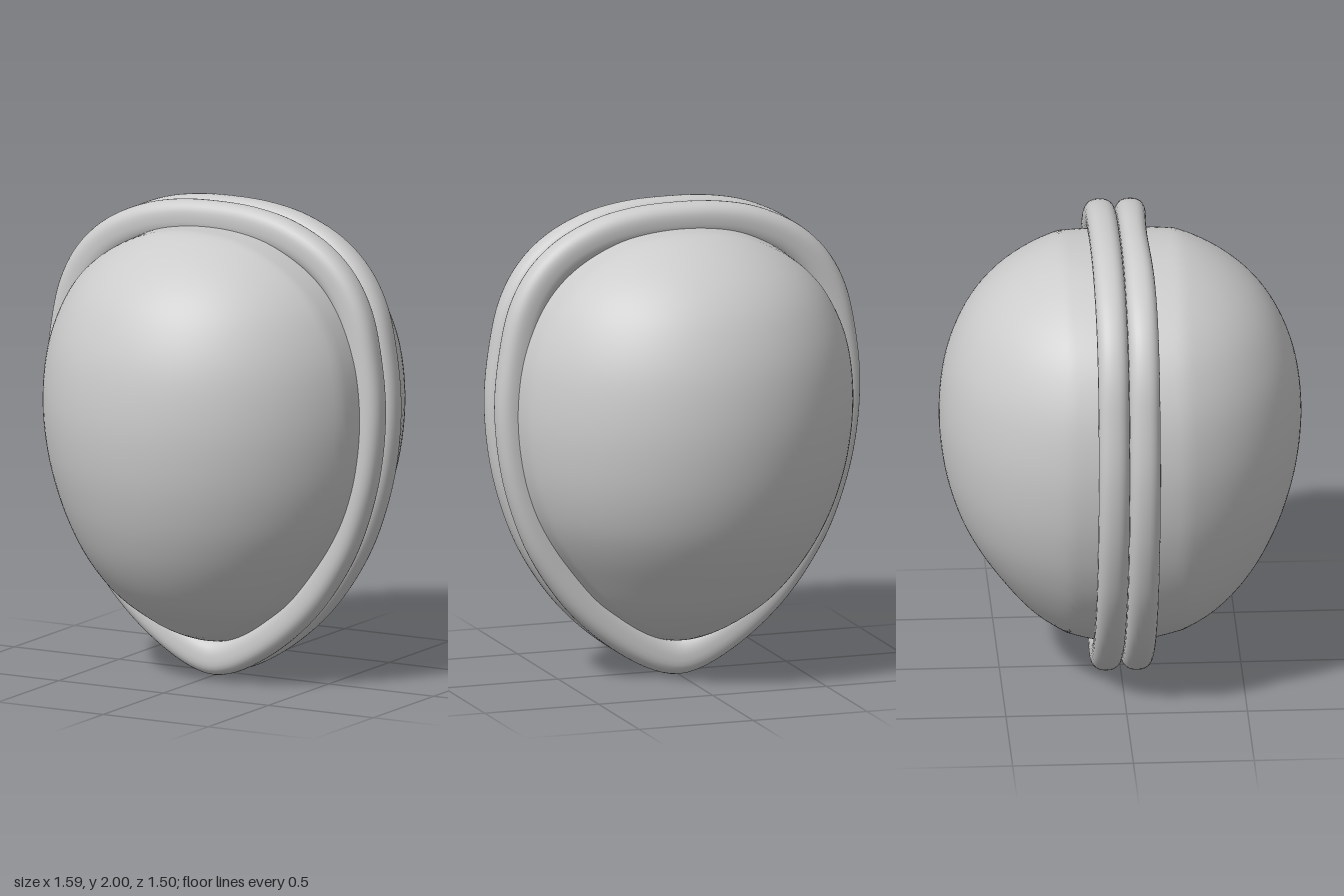
import * as THREE from 'three';

const material = new THREE.MeshStandardMaterial({ color: 0xcccccc });

// Half of the rim's outer outline (x, y), from the top to the bottom tip
const OUTLINE = [
  [0, 2.0], [0.19, 1.99], [0.36, 1.952], [0.53, 1.868], [0.65, 1.755], [0.73, 1.61],
  [0.775, 1.42], [0.797, 1.18], [0.77, 0.91], [0.705, 0.68], [0.63, 0.515],
  [0.5, 0.325], [0.36, 0.185], [0.21, 0.078], [0.09, 0.02], [0, 0.003],
];

// Radius and height of the shell, from the bottom to the top
const PROFILE = [
  [0, 0.105], [0.1, 0.122], [0.2, 0.168], [0.31, 0.245], [0.42, 0.335], [0.52, 0.455],
  [0.61, 0.595], [0.68, 0.75], [0.73, 0.94], [0.75, 1.16], [0.728, 1.38],
  [0.665, 1.56], [0.575, 1.695], [0.45, 1.803], [0.3, 1.882], [0.15, 1.917], [0, 1.927],
];

// Half of the shell, turned about the vertical axis, then gently reshaped
function shellHalf(name, phiStart) {
  const curve = new THREE.SplineCurve(PROFILE.map(([r, y]) => new THREE.Vector2(r, y)));
  const points = curve.getPoints(80);
  points.forEach((p) => { p.x = Math.max(p.x, 0); });
  const geometry = new THREE.LatheGeometry(points, 64, phiStart, Math.PI);
  const position = geometry.attributes.position;
  for (let i = 0; i < position.count; i++) {
    const x = position.getX(i), y = position.getY(i), z = position.getZ(i);
    // Pinch the shell next to the seam
    const pinch = 1 - 0.035 * Math.max(0, 1 - (z / 0.24) ** 2);
    // Lower part bulges slightly to the front right
    const bulge = 0.015 * Math.exp(-(((y - 0.42) / 0.22) ** 2));
    position.setXYZ(i, x * pinch - bulge, 1.1 + (y - 1.1) * pinch, z + bulge);
  }
  geometry.computeVertexNormals();
  const mesh = new THREE.Mesh(geometry, material);
  mesh.name = name;
  return mesh;
}

// Rounded lip swept around the outline; side is +1 for front, -1 for back
function rim(name, side) {
  const mirrored = OUTLINE.slice(1, -1).reverse().map(([x, y]) => [-x, y]);
  const curve = new THREE.CatmullRomCurve3(
    [...OUTLINE, ...mirrored].map(([x, y]) => new THREE.Vector3(x, y, 0)), true);
  const rings = 160, sides = 28, radius = 0.064;
  const soften = (v) => Math.sign(v) * Math.abs(v) ** 0.85;
  const positions = [], indices = [];
  for (let i = 0; i < rings; i++) {
    const p = curve.getPointAt(i / rings);
    const t = curve.getTangentAt(i / rings);
    // The front lip is slightly thinner at the top centre
    const dip = side > 0 && p.y > 1 ? 0.015 * Math.exp(-((p.x / 0.3) ** 2)) : 0;
    const halfWidth = radius - dip / 2;
    for (let j = 0; j < sides; j++) {
      const a = (j / sides) * Math.PI * 2;
      const c = soften(Math.cos(a));
      // Round outside, drawn out inwards so that it sinks into the shell
      const n = -radius + c * (c > 0 ? radius : 0.085);
      positions.push(p.x - t.y * n, p.y + t.x * n, side * halfWidth * (1 + soften(Math.sin(a))));
      const i2 = (i + 1) % rings, j2 = (j + 1) % sides;
      const A = i * sides + j, B = i2 * sides + j, C = i2 * sides + j2, D = i * sides + j2;
      if (side > 0) indices.push(A, D, B, B, D, C);
      else indices.push(A, B, D, B, C, D);
    }
  }
  const geometry = new THREE.BufferGeometry();
  geometry.setAttribute('position', new THREE.Float32BufferAttribute(positions, 3));
  geometry.setIndex(indices);
  geometry.computeVertexNormals();
  const mesh = new THREE.Mesh(geometry, material);
  mesh.name = name;
  return mesh;
}

export function createModel() {
  const group = new THREE.Group();
  group.name = 'nut';
  group.add(
    shellHalf('frontShell', -Math.PI / 2),
    shellHalf('backShell', Math.PI / 2),
    rim('frontRim', 1),
    rim('backRim', -1),
  );
  return group;
}
